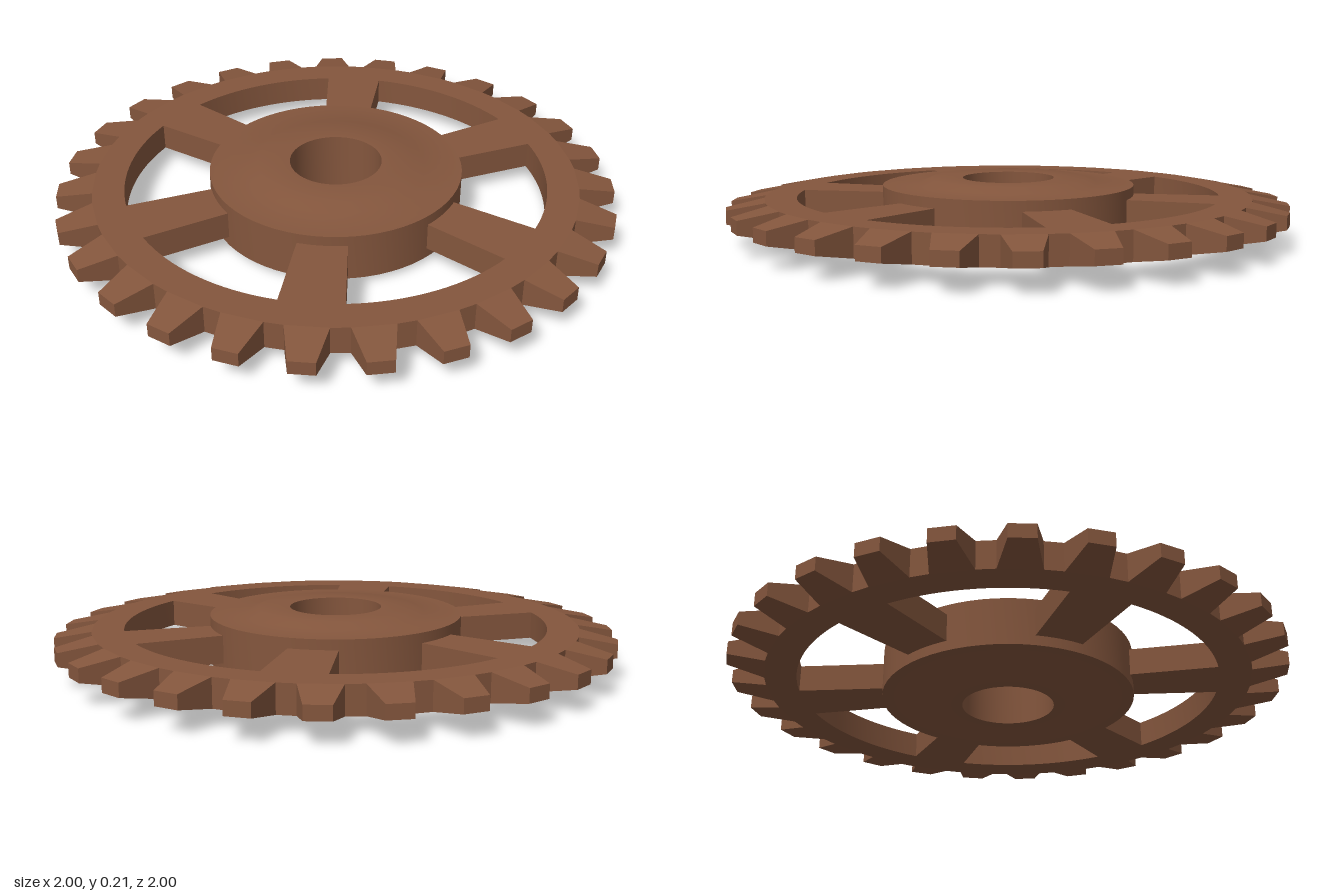
import * as THREE from 'three';
import { toCreasedNormals } from 'three/addons/utils/BufferGeometryUtils.js';

const TEETH = 27, SPOKES = 6;
const MID = 0.107;           // height of the wheel's middle plane
const HALF = 0.049;          // half thickness of rim and spokes
const ROOT = 0.87, TIP = 0.999, BASE_HALF = 0.07, TIP_HALF = 0.043, TIP_THICK = 0.024;

const polar = (r, a) => new THREE.Vector2(r * Math.cos(a), r * Math.sin(a));

// Rim and spokes: one plate with a window between each pair of spokes
function wheelGeometry() {
  const outline = [];
  const da = Math.asin(BASE_HALF / ROOT);
  for (let i = 0; i < TEETH; i++) {
    const a = (i / TEETH) * Math.PI * 2;
    outline.push(polar(ROOT, a - da), polar(ROOT, a + da));
  }
  const shape = new THREE.Shape(outline);

  const step = (Math.PI * 2) / SPOKES, inner = 0.4, outer = 0.757;
  const spokeAngle = (r) => Math.asin((0.055 + 0.067 * r) / r); // spokes widen outwards
  for (let i = 0; i < SPOKES; i++) {
    const a0 = i * step, a1 = a0 + step;
    const s = a0 + spokeAngle(outer), e = a1 - spokeAngle(outer);
    const pts = [polar(inner, a0 + spokeAngle(inner))];
    for (let k = 0; k <= 16; k++) pts.push(polar(outer, s + ((e - s) * k) / 16));
    pts.push(polar(inner, a1 - spokeAngle(inner)));
    shape.holes.push(new THREE.Path(pts));
  }
  // Centre opening, hidden inside the hub
  const bore = new THREE.Path();
  bore.absarc(0, 0, 0.28, 0, Math.PI * 2, true);
  shape.holes.push(bore);

  const geo = new THREE.ExtrudeGeometry(shape, { depth: HALF * 2, bevelEnabled: false, curveSegments: 24 });
  geo.rotateX(-Math.PI / 2).translate(0, -HALF, 0);
  return toCreasedNormals(geo, 0.08);
}

// Tooth: a box narrowed in width and thickness towards its tip, pointing along +x
function toothGeometry() {
  const geo = new THREE.BoxGeometry(1, 2, 2).toNonIndexed();
  const p = geo.attributes.position;
  const root = Math.sqrt(ROOT * ROOT - BASE_HALF * BASE_HALF);
  for (let i = 0; i < p.count; i++) {
    const tip = p.getX(i) > 0;
    p.setXYZ(i, tip ? TIP : root,
      p.getY(i) * (tip ? TIP_THICK : HALF),
      p.getZ(i) * (tip ? TIP_HALF : BASE_HALF));
  }
  geo.computeVertexNormals();
  return geo;
}

// Hub: closed ring profile with a raised collar on both faces
function hubGeometry() {
  const upper = [[0.453, 0.085], [0.32, 0.088], [0.28, 0.106], [0.165, 0.106]];
  const lower = upper.map(([r, y]) => [r, -y]).reverse();
  const pts = [...lower, ...upper, lower[0]].map(([r, y]) => new THREE.Vector2(r, y));
  return toCreasedNormals(new THREE.LatheGeometry(pts, 64), 0.6);
}

export function createModel() {
  const group = new THREE.Group();
  group.name = 'gearWheel';
  const brown = new THREE.MeshStandardMaterial({ color: 0x84563d });
  brown.name = 'brown';

  const add = (name, geo, parent = group) => {
    const mesh = new THREE.Mesh(geo, brown);
    mesh.name = name;
    parent.add(mesh);
    return mesh;
  };

  add('rimAndSpokes', wheelGeometry()).position.y = MID;
  add('hub', hubGeometry()).position.y = MID;

  const teeth = new THREE.Group();
  teeth.name = 'teeth';
  teeth.position.y = MID;
  group.add(teeth);
  const tooth = toothGeometry();
  for (let i = 0; i < TEETH; i++) {
    add('tooth', tooth, teeth).rotation.y = (i / TEETH) * Math.PI * 2;
  }
  return group;
}
